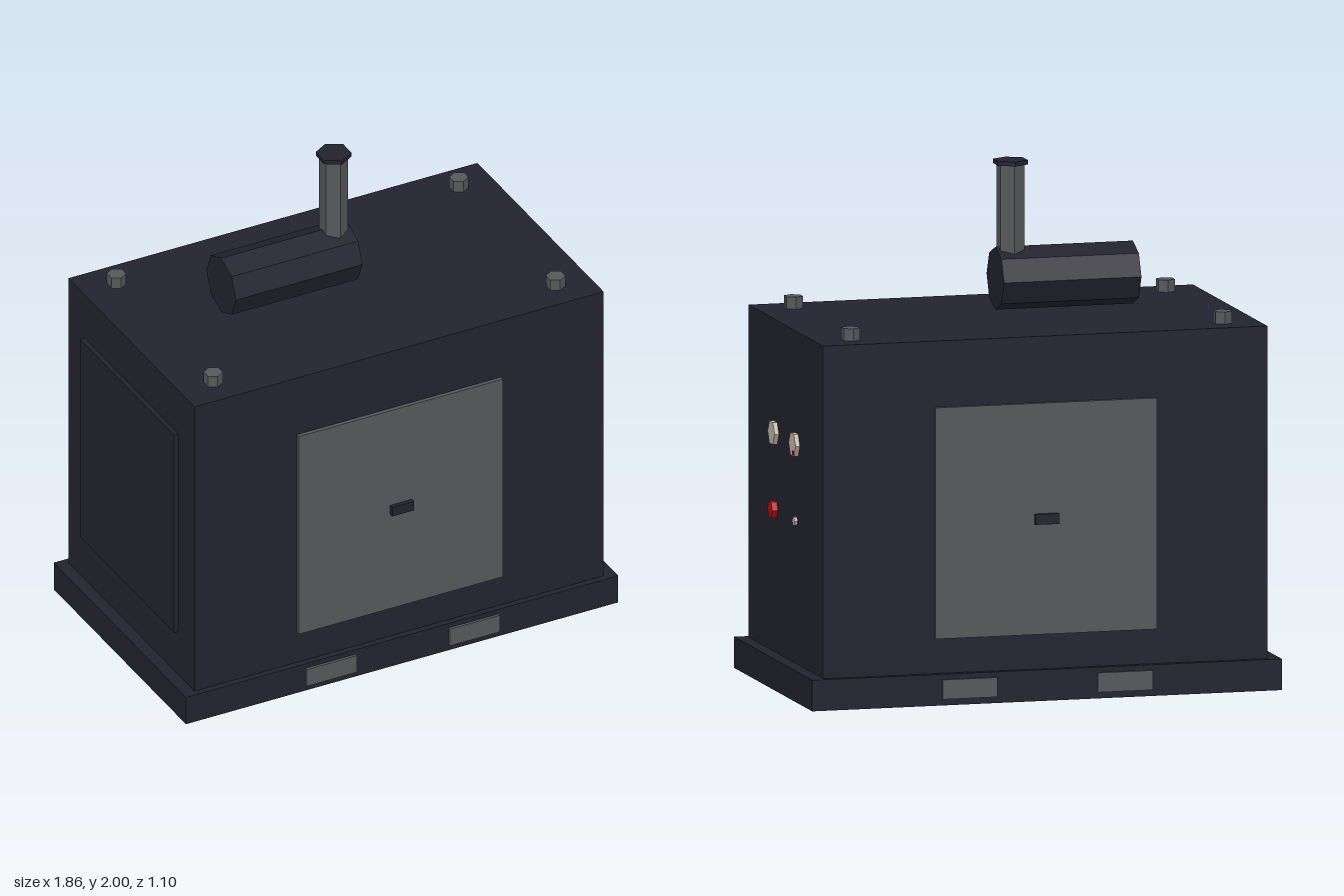
import * as THREE from 'three';

const paint = (name, color) => {
  const m = new THREE.MeshStandardMaterial({ color });
  m.name = name;
  return m;
};

export function createModel() {
  const model = new THREE.Group();
  model.name = 'generator';
  const dark = paint('dark navy', 0x232330);
  const grey = paint('steel grey', 0x55595a);
  const cream = paint('cream', 0xc4b8aa);
  const red = paint('red', 0xb41012);

  const add = (name, geometry, material) => {
    const mesh = new THREE.Mesh(geometry.index ? geometry.toNonIndexed() : geometry, material);
    mesh.geometry.computeVertexNormals(); // flat facets
    mesh.name = name;
    model.add(mesh);
    return mesh;
  };
  // box given by its limits on each axis
  const box = (name, material, [x0, x1], [y0, y1], [z0, z1]) =>
    add(name, new THREE.BoxGeometry(x1 - x0, y1 - y0, z1 - z0), material)
      .position.set((x0 + x1) / 2, (y0 + y1) / 2, (z0 + z1) / 2);
  // upright prism
  const post = (name, material, r, y0, y1, x, z) =>
    add(name, new THREE.CylinderGeometry(r, r, y1 - y0, 6), material)
      .position.set(x, (y0 + y1) / 2, z);
  // prism lying along x
  const knob = (name, material, r, sides, x0, x1, y, z) => {
    const g = new THREE.CylinderGeometry(r, r, x1 - x0, sides).rotateZ(-Math.PI / 2);
    add(name, g, material).position.set((x0 + x1) / 2, y, z);
  };

  // skid base and housing
  box('base', dark, [-0.928, 0.928], [0, 0.12], [-0.54, 0.54]);
  box('housing', dark, [-0.878, 0.878], [0.12, 1.4], [-0.515, 0.515]);
  box('endPanel', dark, [-0.897, -0.878], [0.315, 1.205], [-0.385, 0.385]);

  // doors, handles and fork pockets on both long sides
  for (const s of [1, -1]) {
    const span = (a, b) => (s > 0 ? [a, b] : [-b, -a]);
    box('door', grey, [-0.438, 0.438], [0.255, 1.145], span(0.51, 0.531));
    box('doorHandle', dark, [-0.047, 0.047], [0.68, 0.72], span(0.53, 0.549));
    for (const x of [-0.307, 0.307])
      box('forkPocket', grey, [x - 0.108, x + 0.108], [0.025, 0.1], span(0.53, 0.551));
  }

  // lifting lugs on the roof
  for (const x of [-0.735, 0.735])
    for (const z of [-0.395, 0.395])
      post('liftingLug', grey, 0.037, 1.39, 1.447, x, z);

  // muffler and exhaust stack
  knob('muffler', dark, 0.121, 8, -0.493, 0.05, 1.545, 0);
  post('exhaustPipe', grey, 0.055, 1.6, 1.985, -0.01, 0);
  post('exhaustCap', dark, 0.068, 1.983, 2, -0.01, 0);

  // control panel
  for (const z of [0.145, -0.145])
    knob('gauge', cream, 0.049, 6, 0.87, 0.895, 0.965, z);
  box('gaugeNeedle', red, [0.893, 0.897], [0.928, 0.942], [-0.176, -0.152]);
  knob('stopButton', red, 0.035, 6, 0.87, 0.9, 0.67, 0.145);
  knob('keySwitch', cream, 0.018, 6, 0.87, 0.89, 0.67, -0.145);
  return model;
}
